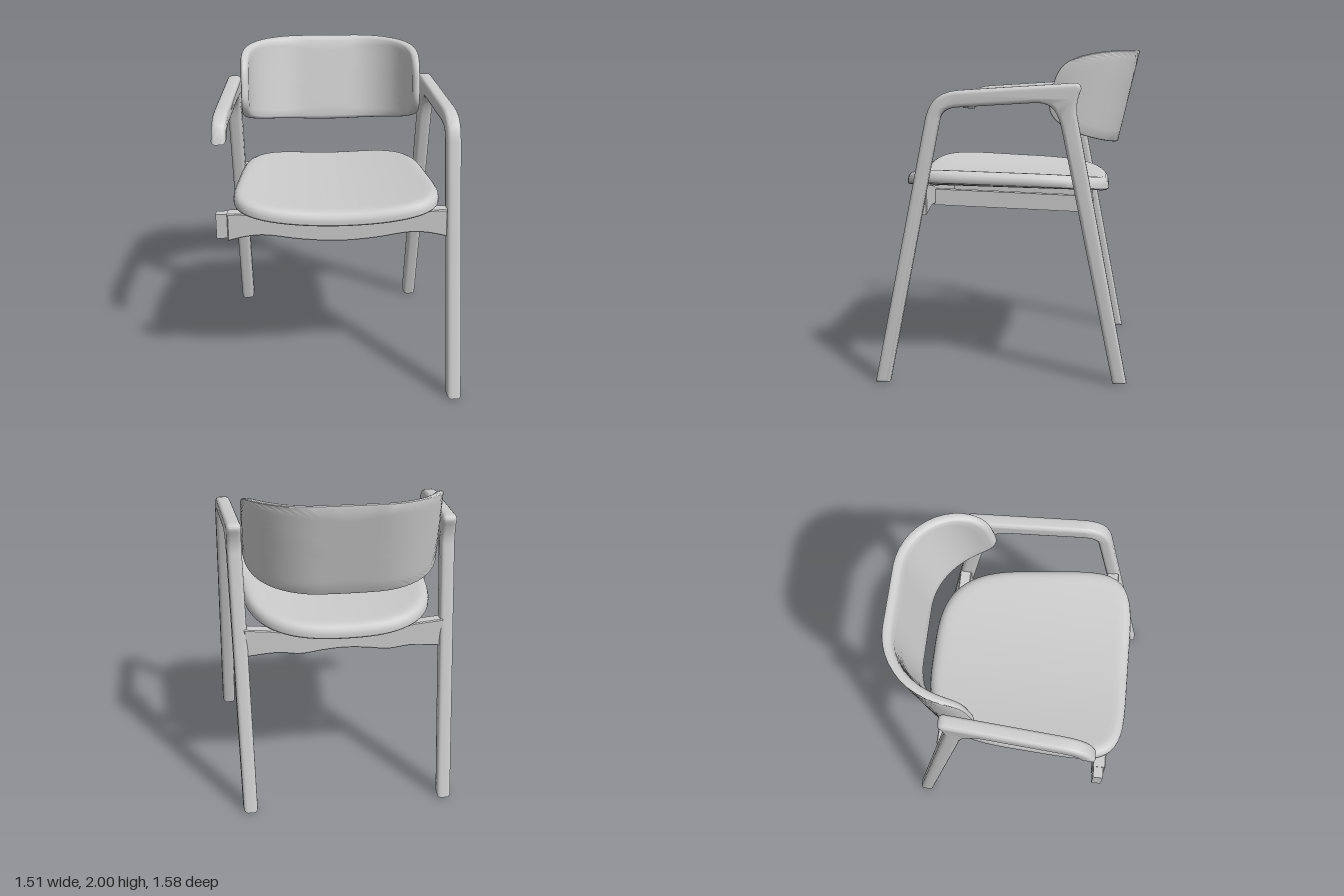
import * as THREE from 'three';
import { toCreasedNormals } from 'three/addons/utils/BufferGeometryUtils.js';

const wood = new THREE.MeshStandardMaterial({ color: 0xcccccc });
wood.name = 'pale wood';

function part(name, geometry, crease = 0.7) {
  const mesh = new THREE.Mesh(toCreasedNormals(geometry, crease), wood);
  mesh.name = name;
  return mesh;
}

// Move every vertex by a rule
function reshape(geometry, rule) {
  const pos = geometry.attributes.position;
  const v = new THREE.Vector3();
  for (let i = 0; i < pos.count; i++) {
    rule(v.fromBufferAttribute(pos, i));
    pos.setXYZ(i, v.x, v.y, v.z);
  }
  return geometry;
}

// Disc with a shaped rim: profile radius 0.9..1 is kept as true distance
// from the rim, the rest scales. outline gives the rim point per direction.
function pad(edge, outline, place) {
  const points = [];
  const first = edge[0], last = edge[edge.length - 1];
  for (let i = 0; i < 12; i++) points.push(new THREE.Vector2(i / 12 * 0.9, first[1]));
  for (const [inset, y] of edge) points.push(new THREE.Vector2(1 - inset, y));
  for (let i = 11; i >= 0; i--) points.push(new THREE.Vector2(i / 12 * 0.9, last[1]));
  return reshape(new THREE.LatheGeometry(points, 112), (v) => {
    const r = Math.hypot(v.x, v.z);
    if (r < 1e-6) return place(v, 0, 0, v.y);
    const [a, b] = outline(v.x / r, v.z / r);
    const size = Math.hypot(a, b);
    const d = r > 0.9 ? size - (1 - r) : r / 0.9 * (size - 0.1);
    return place(v, a / size * d, b / size * d, v.y);
  });
}

const superRadius = (c, s, n) => Math.pow(Math.abs(c) ** n + Math.abs(s) ** n, -1 / n);

// Seat: tapered rounded square, dished across its width
function seat() {
  const edge = [[0.1, 0], [0.008, 0], [0, 0.008], [0, 0.03], [0.006, 0.052],
    [0.02, 0.07], [0.04, 0.081], [0.065, 0.085], [0.1, 0.085]];
  const outline = (c, s) => {
    const r = superRadius(c, s, s > 0 ? 5 : 3.3);
    return [c * r * (0.61 + 0.05 * s * r), s * r * 0.633];
  };
  return part('seat', pad(edge, outline, (v, a, b, t) => {
    const z = b + 0.022;
    v.set(a, 1.13 + 0.02 * z + 0.065 * (a / 0.6) ** 2 + t, z);
  }));
}

// Backrest: rounded panel bent around the sitter and leaning back
function backrest() {
  const edge = [[0.1, -0.025], [0.01, -0.025], [0.003, -0.022], [0, -0.014], [0, -0.004],
    [0.006, 0.01], [0.017, 0.02], [0.032, 0.025], [0.1, 0.025]];
  const outline = (c, s) => {
    const r = superRadius(c, s, s > 0 ? 2.3 : 4.5);
    return [c * r * 0.85, s * r * 0.285];
  };
  const flat = 0.18, bend = 0.39;
  return part('backrest', pad(edge, outline, (v, a, b, t) => {
    const y = 1.715 - b;
    const s = Math.abs(a);
    const angle = Math.min(Math.max((s - flat) / bend, 0), Math.PI / 2);
    const straight = Math.max(s - flat - bend * Math.PI / 2, 0);
    const x = Math.min(s, flat) + (bend - t) * Math.sin(angle);
    const z = -0.375 - (bend - t) * Math.cos(angle) + straight;
    v.set(Math.sign(a) * x, y, z - 0.228 * (y - 2));
  }));
}

// Side frame: leg, arm and leg in one piece; the right one stops at the arm's front
function sideFrame(name, side, hasFrontLeg) {
  const s = new THREE.Shape();
  if (hasFrontLeg) {
    s.moveTo(0.79, 0);
    s.lineTo(0.467, 1.59);
  } else {
    s.moveTo(0.467, 1.6);
  }
  s.bezierCurveTo(0.44, 1.71, 0.38, 1.758, 0.25, 1.765);
  s.lineTo(-0.39, 1.805);
  s.quadraticCurveTo(-0.44, 1.808, -0.438, 1.77);
  s.quadraticCurveTo(-0.405, 1.69, -0.415, 1.62);
  s.lineTo(-0.73, 0);
  s.lineTo(-0.645, 0);
  s.lineTo(-0.335, 1.5);
  s.bezierCurveTo(-0.31, 1.63, -0.28, 1.7, -0.16, 1.69);
  s.lineTo(0.27, 1.665);
  s.bezierCurveTo(0.34, 1.66, 0.37, 1.64, 0.383, 1.595);
  if (hasFrontLeg) s.lineTo(0.705, 0);
  const depth = 0.04, bevel = 0.024;
  const g = new THREE.ExtrudeGeometry(s, {
    depth, curveSegments: 10, bevelEnabled: true, bevelSegments: 4,
    bevelSize: bevel, bevelThickness: bevel, bevelOffset: -bevel,
  });
  g.translate(0, 0, -depth / 2).rotateY(-Math.PI / 2);
  reshape(g, (v) => { v.x += side * (0.671 + 0.069 * v.z); });
  return part(name, g);
}

// Cross rail: mirrored top and bottom curves, given from the middle outwards
function crossRail(name, top, bottom, z0, z1) {
  const full = (half) => [
    ...half.slice(1).reverse().map(([x, y]) => new THREE.Vector2(-x, y)),
    ...half.map(([x, y]) => new THREE.Vector2(x, y)),
  ];
  const up = full(top), low = full(bottom).reverse();
  const s = new THREE.Shape();
  s.moveTo(up[0].x, up[0].y);
  s.splineThru(up.slice(1));
  s.lineTo(low[0].x, low[0].y);
  s.splineThru(low.slice(1));
  const bevel = 0.006;
  const g = new THREE.ExtrudeGeometry(s, {
    depth: z1 - z0 - 2 * bevel, curveSegments: 40, bevelSegments: 1,
    bevelSize: bevel, bevelThickness: bevel, bevelOffset: -bevel,
  });
  g.translate(0, 0, z0 + bevel);
  return part(name, g, 0.5);
}

export function createModel() {
  const chair = new THREE.Group();
  chair.name = 'armchair';
  chair.add(seat(), backrest());
  chair.add(sideFrame('leftFrame', 1, true), sideFrame('rightFrame', -1, false));

  // Rails under the seat
  chair.add(crossRail('frontRail',
    [[0, 1.143], [0.25, 1.153], [0.45, 1.175], [0.56, 1.193], [0.665, 1.195]],
    [[0, 1.005], [0.22, 1.02], [0.42, 1.05], [0.54, 1.047], [0.665, 1.02]], 0.475, 0.555));
  chair.add(crossRail('backRail',
    [[0, 1.118], [0.3, 1.13], [0.45, 1.15], [0.61, 1.165]],
    [[0, 1.01], [0.13, 1.002], [0.27, 0.985], [0.42, 1.0], [0.61, 0.985]], -0.51, -0.435));
  for (const side of [1, -1]) {
    const g = new THREE.BoxGeometry(0.055, 0.1, 0.93);
    reshape(g, (v) => { v.x += side * 0.36; v.y += 1.075 + 0.033 * v.z; v.z += 0.02; });
    chair.add(part(side > 0 ? 'leftSeatRail' : 'rightSeatRail', g));
  }

  // Exposed joint at the right end of the front rail
  const joint = part('railJoint', new THREE.BoxGeometry(0.08, 0.155, 0.06));
  joint.position.set(-0.692, 1.112, 0.512);
  chair.add(joint);

  // The frames are uneven, so shift the whole to its middle
  for (const child of chair.children) child.position.x -= 0.02;
  return chair;
}
